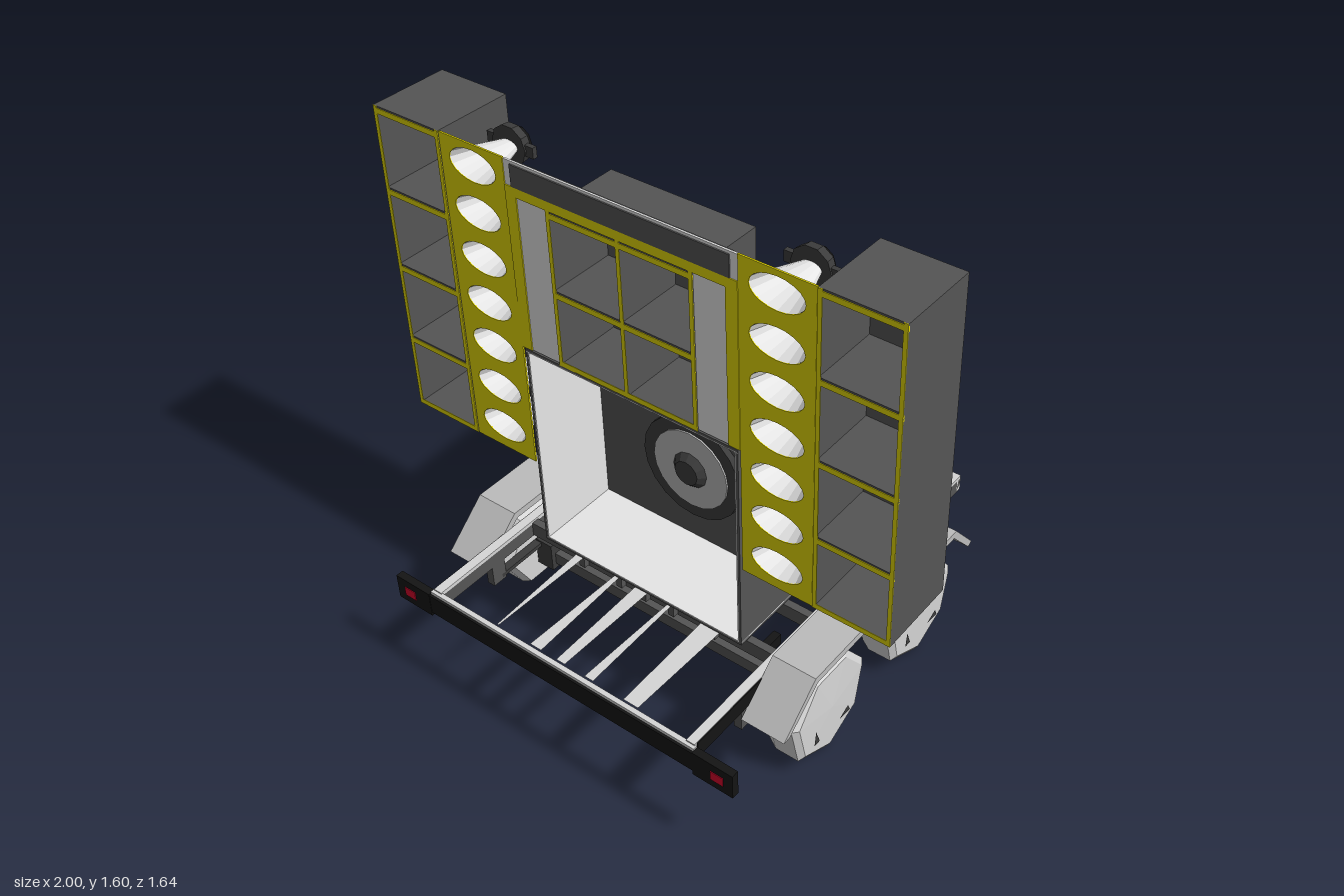
import * as THREE from 'three';

const mat = (name, color) => {
  const m = new THREE.MeshStandardMaterial({ color, flatShading: true, side: THREE.DoubleSide });
  m.name = name;
  return m;
};

export function createModel() {
  const dark = mat('dark grey', 0x555555), yellow = mat('yellow', 0xe6da00), white = mat('white', 0xf6f6f6);
  const light = mat('light grey', 0xd6d6d6), steel = mat('steel grey', 0xbcbcbc), black = mat('black', 0x141414);
  const red = mat('red', 0xd8002c), iron = mat('iron grey', 0x3c3c3c);
  const root = new THREE.Group();
  root.name = 'speakerTrailer';

  const add = (parent, name, geo, m) => {
    const mesh = new THREE.Mesh(geo, m);
    mesh.name = name;
    parent.add(mesh);
    return mesh;
  };
  const group = name => {
    const g = new THREE.Group();
    g.name = name;
    root.add(g);
    return g;
  };
  // box given by its two opposite corners
  const box = (parent, name, m, x0, x1, y0, y1, z0, z1) => {
    const b = add(parent, name, new THREE.BoxGeometry(x1 - x0, y1 - y0, z1 - z0), m);
    b.position.set((x0 + x1) / 2, (y0 + y1) / 2, (z0 + z1) / 2);
    return b;
  };
  // horizontal beam between two points of the ground plan
  const beam = (parent, name, m, xa, za, xb, zb, y0, y1, w) => {
    const b = add(parent, name, new THREE.BoxGeometry(Math.hypot(xb - xa, zb - za), y1 - y0, w), m);
    b.position.set((xa + xb) / 2, (y0 + y1) / 2, (za + zb) / 2);
    b.rotation.y = -Math.atan2(zb - za, xb - xa);
    return b;
  };
  // round part whose axis runs along x
  const disc = (parent, name, m, rFront, rRear, len, sides, x, y, z, open = false) => {
    const d = add(parent, name, new THREE.CylinderGeometry(rFront, rRear, len, sides, 1, open).rotateZ(-Math.PI / 2), m);
    d.position.set(x, y, z);
    return d;
  };
  const poly = pts => new THREE.Shape(pts.map(p => new THREE.Vector2(...p)));
  const rect = (a0, a1, b0, b1) => poly([[a0, b0], [a1, b0], [a1, b1], [a0, b1]]);
  // upright plate drawn in (z, y), from x to x + t
  const plate = (parent, name, m, shape, x, t) => {
    const g = new THREE.ExtrudeGeometry(shape, { depth: t, bevelEnabled: false, curveSegments: 10 });
    const p = add(parent, name, g.rotateY(-Math.PI / 2), m);
    p.position.x = x + t;
    return p;
  };
  // flat sheet drawn in (x, z)
  const sheet = (parent, name, m, pts, y) => {
    const s = add(parent, name, new THREE.ShapeGeometry(poly(pts.map(([x, z]) => [x, -z]))), m);
    s.rotation.x = -Math.PI / 2;
    s.position.y = y;
    return s;
  };

  // speaker cabinets, open to the rear with yellow edging
  const XR = -0.64, XF = -0.395;
  const cabinet = (name, z0, z1, y0, y1, cols, rows, gusset) => {
    const g = group(name);
    const dz = (z1 - z0) / cols, dy = (y1 - y0) / rows, t = 0.006;
    for (let c = 0; c <= cols; c++) {
      const z = Math.min(Math.max(z0 + c * dz, z0 + t / 2), z1 - t / 2);
      box(g, 'cabinetWall', dark, XR, XF, y0, y1, z - t / 2, z + t / 2);
      const e = Math.min(Math.max(z, z0 + 0.006), z1 - 0.006);
      box(g, 'edgeTrim', yellow, XR - 0.002, XR, y0, y1, e - 0.006, e + 0.006);
    }
    for (let r = 0; r <= rows; r++) {
      const y = r ? y0 + r * dy : y0 + t;
      box(g, 'shelf', dark, XR, XF, y - t, y, z0, z1);
      if (r) box(g, 'shelfTrim', yellow, XR - 0.002, XR + 0.004, y - 0.022, y - t, z0, z1);
      else box(g, 'shelfTrim', yellow, XR - 0.002, XR, y - t, y + 0.01, z0, z1);
    }
    for (let c = 0; c < cols; c++) for (let r = 0; r < rows; r++)
      box(g, 'backPanel', dark, -0.435, -0.43, y0 + r * dy, y0 + (r + 1) * dy - 0.024, z0 + c * dz, z0 + (c + 1) * dz);
    plate(g, 'gusset', dark, poly(gusset), XF - 0.002, 0.002);
  };
  cabinet('leftTower', 0.585, 0.819, 0.628, 1.603, 1, 4, [[0.585, 1.6], [0.585, 1.115], [0.819, 1.115]]);
  cabinet('rightTower', -0.819, -0.585, 0.628, 1.603, 1, 4, [[-0.585, 0.63], [-0.585, 1.12], [-0.819, 1.12]]);
  cabinet('centreCabinet', -0.23, 0.23, 1.026, 1.5, 2, 2, [[0, 1.5], [0, 1.03], [0.23, 1.03]]);

  // horn columns
  for (const s of [-1, 1]) {
    const g = group(s > 0 ? 'leftHornColumn' : 'rightHornColumn');
    const zc = s * 0.473;
    const mouth = y => new THREE.Path().absellipse(zc, y, 0.08, 0.047, 0, Math.PI * 2, true);
    const baffle = rect(zc - 0.11, zc + 0.11, 0.628, 1.603);
    for (let i = 0; i < 7; i++) {
      const y = 0.705 + i * 0.139;
      baffle.holes.push(mouth(y));
      const flange = rect(zc - 0.104, zc + 0.104, y - 0.054, y + 0.054);
      flange.holes.push(mouth(y));
      plate(g, 'hornFlange', white, flange, XR + 0.006, 0.004);
      disc(g, 'hornFlare', white, 0.018, 0.047, 0.13, 16, -0.573, y, zc, true).scale.z = 1.7;
      disc(g, 'driver', iron, 0.055, 0.058, 0.026, 10, -0.497, y, zc);
      disc(g, 'driverMagnet', black, 0.04, 0.048, 0.018, 10, -0.475, y, zc);
      disc(g, 'driverCap', steel, 0.026, 0.026, 0.003, 8, -0.465, y, zc);
      box(g, 'driverLugs', iron, -0.505, -0.49, y - 0.016, y + 0.016, zc - 0.08, zc + 0.08);
    }
    plate(g, 'hornBaffle', yellow, baffle, XR, 0.005);
  }

  // white panel around the centre cabinet, with a dark beam on top
  const surround = rect(-0.363, 0.363, 1.03, 1.6);
  surround.holes.push(rect(-0.228, 0.228, 1.035, 1.498));
  plate(root, 'surroundPanel', white, surround, XR + 0.002, 0.006);
  box(root, 'topBeam', dark, XR - 0.002, XR + 0.02, 1.528, 1.592, -0.34, 0.34);
  for (const s of [-1, 1]) box(root, 'surroundTrim', yellow, XR - 0.002, XR + 0.001, 1.03, 1.528, s * 0.345 - 0.018, s * 0.345 + 0.018);
  box(root, 'surroundTopTrim', yellow, XR - 0.002, XR + 0.001, 1.5, 1.528, -0.327, 0.327);

  // large bass bin, dark outside, light inside, open to the rear
  const bin = group('bassBin');
  const B = 0.355, XB = -0.38;
  box(bin, 'binTop', dark, XR, 0.058, 1.018, 1.026, -B, B);
  box(bin, 'binFloor', dark, XR, 0.058, 0.342, 0.35, -B, B);
  box(bin, 'binFront', dark, 0.05, 0.058, 0.342, 1.026, -B, B);
  box(bin, 'floorLining', white, XR, XB, 0.35, 0.353, -B, B);
  box(bin, 'topLining', white, XR, XB, 1.015, 1.018, -B, B);
  for (const s of [-1, 1]) {
    box(bin, 'binSide', dark, XR, 0.058, 0.342, 1.026, s * 0.351 - 0.004, s * 0.351 + 0.004);
    box(bin, 'sideLining', white, XR, XB, 0.35, 1.018, s * 0.345 - 0.0015, s * 0.345 + 0.0015);
  }
  box(bin, 'wooferBaffle', dark, XB, XB + 0.01, 0.35, 1.018, -0.347, 0.347);
  disc(bin, 'wooferRing', iron, 0.17, 0.17, 0.02, 20, XB - 0.01, 0.62, 0);
  disc(bin, 'wooferCone', steel, 0.13, 0.13, 0.006, 20, XB - 0.022, 0.62, 0);
  disc(bin, 'wooferCap', iron, 0.06, 0.04, 0.02, 12, XB - 0.034, 0.62, 0);

  // chassis
  const ch = group('chassis');
  for (const s of [-1, 1]) {
    box(ch, 'sideRail', dark, -0.98, 0.31, 0.285, 0.33, s * 0.452 - 0.013, s * 0.452 + 0.013);
    box(ch, 'railCap', light, -0.98, 0.31, 0.33, 0.342, s * 0.452 - 0.014, s * 0.452 + 0.014);
    box(ch, 'railFace', black, -0.97, -0.1, 0.288, 0.34, s * 0.467 - 0.002, s * 0.467 + 0.002);
    box(ch, 'bumperEnd', black, -0.998, -0.975, 0.25, 0.332, s * 0.535 - 0.065, s * 0.535 + 0.065);
    box(ch, 'tailLight', red, -1, -0.998, 0.275, 0.305, s * 0.55 - 0.02, s * 0.55 + 0.02);
    beam(ch, 'drawbar', dark, 0.14, s * 0.46, 0.87, s * 0.012, 0.245, 0.285, 0.03);
    beam(ch, 'drawbarCap', steel, 0.14, s * 0.46, 0.87, s * 0.012, 0.285, 0.288, 0.03);
    // suspension
    for (const x of [-0.32, 0.13, -0.76]) box(ch, 'springHanger', dark, x - 0.025, x + 0.025, 0.215, 0.29, s * 0.452 - 0.013, s * 0.452 + 0.013);
    for (const x of [-0.55, -0.09]) {
      box(ch, 'leafSpring', iron, x - 0.2, x + 0.2, 0.222, 0.235, s * 0.452 - 0.013, s * 0.452 + 0.013);
      box(ch, 'axleSeat', iron, x - 0.035, x + 0.035, 0.145, 0.24, s * 0.43 - 0.03, s * 0.43 + 0.03);
      box(ch, 'brakeArm', black, x - 0.06, x + 0.02, 0.29, 0.325, s * 0.395 - 0.012, s * 0.395 + 0.012);
    }
  }
  box(ch, 'rearRail', light, -0.99, -0.975, 0.29, 0.338, -0.47, 0.47);
  box(ch, 'rearBumper', black, -0.997, -0.99, 0.262, 0.328, -0.47, 0.47);
  box(ch, 'frontRail', light, 0.293, 0.312, 0.288, 0.34, -0.465, 0.465);
  for (const x of [-0.6, -0.43, -0.2, 0.04]) box(ch, 'crossMember', dark, x - 0.012, x + 0.012, 0.288, 0.335, -0.44, 0.44);
  // tapering deck slats: [z, width at the rear, width towards the front]
  for (const [z, a, b] of [[-0.23, 0.006, 0.036], [-0.09, 0.04, 0.006], [0, 0.03, 0.05], [0.1, 0.03, 0.006], [0.245, 0.05, 0.07]]) {
    sheet(ch, 'deckSlat', light, [[-0.97, z - a / 2], [-0.5, z - b / 2], [-0.5, z + b / 2], [-0.97, z + a / 2]], 0.338);
    box(ch, 'joist', dark, -0.63, 0.05, 0.292, 0.334, z - 0.01, z + 0.01);
  }
  sheet(ch, 'deckCorner', light, [[-0.1, -0.38], [0.31, -0.465], [0.31, -0.355]], 0.341);
  sheet(ch, 'deckStrip', light, [[0.05, 0.175], [0.3, 0.15], [0.3, 0.2], [0.05, 0.21]], 0.341);
  for (const x of [-0.55, -0.09]) {
    box(ch, 'axle', dark, x - 0.02, x + 0.02, 0.162, 0.202, -0.47, 0.47);
    box(ch, 'axleBrace', steel, x - 0.008, x + 0.008, 0.215, 0.23, -0.42, 0.42);
  }

  // drawbar head and coupler
  box(ch, 'drawbarCross', dark, 0.565, 0.582, 0.247, 0.286, -0.175, 0.175);
  box(ch, 'drawbarCentre', steel, 0.575, 0.88, 0.25, 0.287, -0.015, 0.015);
  box(ch, 'couplerBody', iron, 0.82, 0.95, 0.255, 0.292, -0.026, 0.026);
  const head = add(ch, 'couplerHead', new THREE.CylinderGeometry(0.022, 0.034, 0.04, 8), iron);
  head.position.set(0.965, 0.268, 0);
  const corners = [[0.855, -0.052], [0.925, 0], [0.855, 0.052]];
  corners.forEach(([x, z], i) => {
    const [x2, z2] = corners[(i + 1) % 3];
    beam(ch, 'couplerHandle', red, x, z, x2, z2, 0.294, 0.309, 0.015);
  });

  // fenders and wheels; the right-hand wheels are smaller
  for (const s of [-1, 1]) {
    const profile = poly([[-0.79, 0.262], [-0.65, 0.384], [0.05, 0.384], [0.147, 0.272], [0.13, 0.262], [0.04, 0.362], [-0.64, 0.362], [-0.765, 0.262]]);
    const fender = add(root, 'fender', new THREE.ExtrudeGeometry(profile, { depth: 0.14, bevelEnabled: false }), steel);
    fender.position.z = s > 0 ? 0.467 : -0.607;
    const R = s > 0 ? 0.172 : 0.15, sides = s > 0 ? 7 : 6;
    for (const x of [-0.546, -0.092]) {
      const wheel = group('wheel');
      wheel.position.set(x, s > 0 ? 0.172 : 0.2, s * 0.53);
      const ring = [[0, -0.06], [R * 0.9, -0.06], [R, -0.03], [R, 0.045], [R * 0.88, 0.058], [0, 0.062]];
      const tyre = add(wheel, 'tyre', new THREE.LatheGeometry(ring.map(p => new THREE.Vector2(...p)), sides).rotateX(s * Math.PI / 2), light);
      tyre.rotation.z = s > 0 ? 0 : Math.PI / 6;
      const slots = [[[-0.085, -0.08], [-0.06, -0.08], [-0.078, -0.03]], [[0.035, -0.08], [0.085, -0.085], [0.075, -0.06]]];
      for (const pts of slots) {
        const slot = add(wheel, 'wheelSlot', new THREE.ShapeGeometry(poly(pts)), iron);
        slot.position.z = s * 0.064;
      }
    }
  }
  return root;
}
